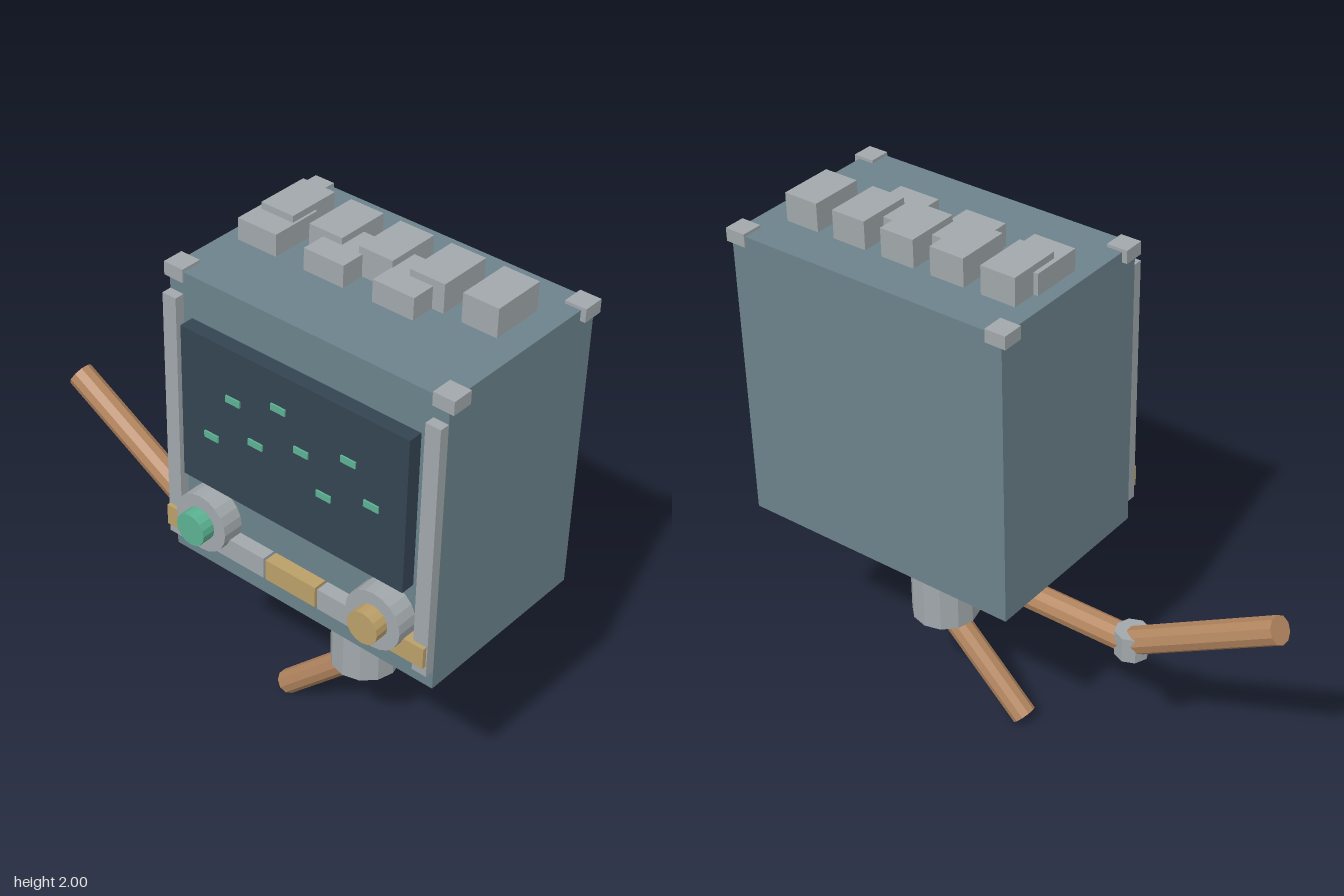
import * as THREE from 'three';

const mat = (name, color) => {
  const m = new THREE.MeshStandardMaterial({ color });
  m.name = name;
  return m;
};

export function createModel() {
  const slate = mat('slate casing', 0x6c838c);
  const steel = mat('pale steel', 0xa1a8ab);
  const glass = mat('dark screen', 0x344452);
  const teal = mat('teal light', 0x5cb394);
  const gold = mat('brass', 0xbb9f68);
  const wood = mat('wood', 0xb48660);

  const model = new THREE.Group();
  model.name = 'screenHeadedFigure';

  const add = (name, geometry, material) => {
    const mesh = new THREE.Mesh(geometry, material);
    mesh.name = name;
    model.add(mesh);
    return mesh;
  };
  // Box given by its extents on each axis
  const box = (name, material, [x0, x1], [y0, y1], [z0, z1]) =>
    add(name, new THREE.BoxGeometry(x1 - x0, y1 - y0, z1 - z0), material)
      .position.set((x0 + x1) / 2, (y0 + y1) / 2, (z0 + z1) / 2);
  // Faceted rod running from point a to point b
  const rod = (name, material, a, b, radius, sides) => {
    const start = new THREE.Vector3(...a), end = new THREE.Vector3(...b);
    const dir = end.clone().sub(start);
    const flat = new THREE.CylinderGeometry(radius, radius, dir.length(), sides).toNonIndexed();
    flat.computeVertexNormals();
    const mesh = add(name, flat, material);
    mesh.position.copy(start).add(end).multiplyScalar(0.5);
    mesh.quaternion.setFromUnitVectors(new THREE.Vector3(0, 1, 0), dir.normalize());
  };

  const cx = 0.416, cz = -0.062, front = 0.292, back = -0.416;
  const left = 0.963, right = -0.131;

  // Head casing and screen
  box('headCasing', slate, [right, left], [0.8, 1.897], [back, front]);
  box('screen', glass, [-0.04, 0.868], [1.171, 1.743], [front - 0.01, 0.345]);

  // Small lights on the screen
  const lightHeights = [1.38, 1.558, 1.438, 1.616, 1.5, 1.38, 1.558, 1.438];
  lightHeights.forEach((y, i) => {
    const x = 0.087 + i * 0.0929;
    box('screenLight', teal, [x - 0.029, x + 0.029], [y - 0.012, y + 0.012], [0.344, 0.351]);
  });

  // Side rails, corner caps and knobs, mirrored about the head's centre
  for (const s of [-1, 1]) {
    const railX = cx + s * 0.5185;
    box('sideRail', steel, [railX - 0.028, railX + 0.028], [0.874, 1.817], [front - 0.01, 0.328]);

    const capX = cx + s * 0.527;
    for (const z of [-0.383, 0.258]) {
      box('cornerCap', steel, [capX - 0.039, capX + 0.039], [1.86, 1.908], [z - 0.0395, z + 0.0395]);
    }

    const knobX = cx + s * 0.362;
    rod('knobBase', steel, [knobX, 1.028, front], [knobX, 1.028, 0.372], 0.108, 20);
    rod('knob', s < 0 ? teal : gold, [knobX, 1.028, 0.36], [knobX, 1.028, 0.4225], 0.06, 16);
  }

  // Trim band of alternating segments under the screen
  for (let i = 0; i < 5; i++) {
    const x = cx + (i - 2) * 0.2188;
    box('trimSegment', i % 2 ? steel : gold, [x - 0.1045, x + 0.1045], [0.914, 0.993], [front - 0.01, 0.343]);
  }

  // Two rows of blocks on top of the head
  for (let i = 0; i < 5; i++) {
    const x = 0.005 + i * 0.199;
    box('backTopBlock', steel, [x - 0.066, x + 0.066], [1.88, 2], [-0.255, -0.054]);
  }
  for (let i = 0; i < 3; i++) {
    const x = 0.001 + i * 0.272;
    box('frontTopBlock', steel, [x - 0.079, x + 0.079], [1.88, 1.976], [-0.16, 0.036]);
  }

  // Body post, bent arm and single leg
  rod('bodyPost', steel, [cx, 0.365, cz], [cx, 0.81, cz], 0.124, 12);
  rod('upperArm', wood, [cx, 0.611, cz], [-0.397, 0.611, cz], 0.05, 10);
  rod('elbow', steel, [-0.397, 0.562, cz], [-0.397, 0.66, cz], 0.061, 8);
  rod('forearm', wood, [-0.397, 0.613, cz], [-0.958, 0.932, cz], 0.05, 10);
  rod('leg', wood, [cx, 0.381, cz], [0.063, 0.034, cz], 0.046, 10);

  return model;
}
